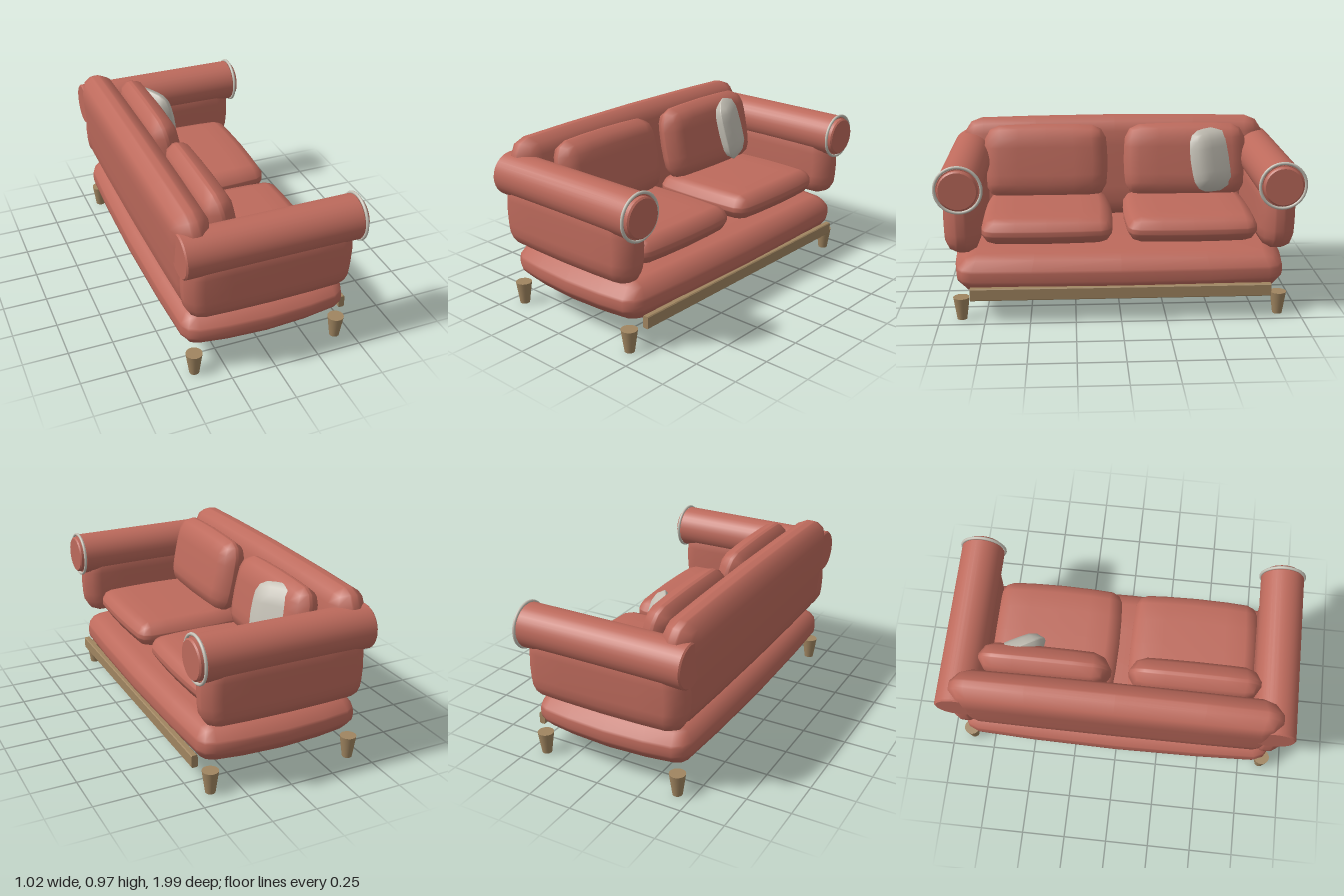
import * as THREE from 'three';
import { mergeVertices } from 'three/addons/utils/BufferGeometryUtils.js';

const material = (name, color) => {
  const m = new THREE.MeshStandardMaterial({ color });
  m.name = name;
  return m;
};

// Stuffed block: a rounded box whose faces swell towards the middle.
// h = half sizes, r = edge radius, bulge = how far the rims draw in.
function cushionGeometry(h, r, bulge) {
  const g = new THREE.BoxGeometry(2, 2, 2, 6, 6, 6);
  g.deleteAttribute('uv');
  g.deleteAttribute('normal');
  const pos = g.attributes.position;
  const p = new THREE.Vector3(), inner = new THREE.Vector3();
  // Grid lines: centre, 60 % of the flat, end of the flat, outer face
  const remap = (t, half) => {
    const i = Math.round(Math.abs(t) * 3);
    return Math.sign(t) * [0, 0.6 * (half - r), half - r, half][i];
  };
  for (let i = 0; i < pos.count; i++) {
    p.set(remap(pos.getX(i), h[0]), remap(pos.getY(i), h[1]), remap(pos.getZ(i), h[2]));
    inner.set(
      THREE.MathUtils.clamp(p.x, r - h[0], h[0] - r),
      THREE.MathUtils.clamp(p.y, r - h[1], h[1] - r),
      THREE.MathUtils.clamp(p.z, r - h[2], h[2] - r));
    p.sub(inner).normalize().multiplyScalar(r).add(inner);
    const u = (p.x / h[0]) ** 2, v = (p.y / h[1]) ** 2, w = (p.z / h[2]) ** 2;
    pos.setXYZ(i,
      p.x * (1 - bulge * (v + w) / 2),
      p.y * (1 - bulge * (u + w) / 2),
      p.z * (1 - bulge * (u + v) / 2));
  }
  const merged = mergeVertices(g, 1e-4);
  merged.computeVertexNormals();
  return merged;
}

// Round bar along x with small bevels, from x0 to x1
function barGeometry(radius, x0, x1, bevel) {
  const pts = [
    [0, x0], [radius - bevel, x0], [radius - bevel, x0],
    [radius, x0 + bevel], [radius, x0 + bevel],
    [radius, x1 - bevel], [radius, x1 - bevel],
    [radius - bevel, x1], [radius - bevel, x1], [0, x1],
  ].map(([a, b]) => new THREE.Vector2(a, b));
  return new THREE.LatheGeometry(pts, 32).rotateZ(-Math.PI / 2);
}

export function createModel() {
  const sofa = new THREE.Group();
  sofa.name = 'sofa';
  const fabric = material('terracotta fabric', 0xbd6a5c);
  const wood = material('oak wood', 0xa08560);
  const linen = material('pale linen', 0xc4c0b5);

  const add = (name, geometry, mat, position = [0, 0, 0], rotation = [0, 0, 0]) => {
    const mesh = new THREE.Mesh(geometry, mat);
    mesh.name = name;
    mesh.position.set(...position);
    mesh.rotation.set(...rotation);
    sofa.add(mesh);
    return mesh;
  };

  // Seat base and leaning backrest; the seat faces +x
  add('base', cushionGeometry([0.485, 0.118, 0.937], 0.075, 0.1), fabric, [-0.004, 0.252, 0]);
  add('backrest', cushionGeometry([0.108, 0.305, 0.925], 0.08, 0.09), fabric, [-0.385, 0.668, 0], [0, 0, 0.09]);

  // Wooden rail along the seat edge
  const railShape = new THREE.Shape();
  const rx = 0.0175, ry = 0.035, c = 0.005;
  [[-rx, c - ry], [c - rx, -ry], [rx - c, -ry], [rx, c - ry], [rx, ry - c], [rx - c, ry], [c - rx, ry], [-rx, ry - c]]
    .forEach(([x, y], i) => (i ? railShape.lineTo(x, y) : railShape.moveTo(x, y)));
  add('rail', new THREE.ExtrudeGeometry(railShape, { depth: 1.65, bevelEnabled: false }).translate(0, 0, -0.825),
    wood, [0.472, 0.165, 0]);

  const armGeometry = cushionGeometry([0.472, 0.2, 0.102], 0.07, 0.1);
  const rollGeometry = barGeometry(0.122, -0.49, 0.48, 0.008);
  const capGeometry = barGeometry(0.108, 0.47, 0.509, 0.008);
  const pipingGeometry = new THREE.TorusGeometry(0.124, 0.0085, 10, 40).rotateY(Math.PI / 2);
  const seatGeometry = cushionGeometry([0.335, 0.078, 0.37], 0.06, 0.09);
  const backGeometry = cushionGeometry([0.088, 0.22, 0.365], 0.075, 0.11);
  const legGeometry = new THREE.CylinderGeometry(0.045, 0.027, 0.127, 24);

  for (const s of [1, -1]) {
    const side = s > 0 ? 'A' : 'B';
    // Arm: stuffed panel, roll, end cap and piping ring
    add('armPanel' + side, armGeometry, fabric, [-0.004, 0.568, s * 0.862]);
    add('armRoll' + side, rollGeometry, fabric, [0, 0.757, s * 0.864]);
    add('armCap' + side, capGeometry, fabric, [0, 0.757, s * 0.864]);
    add('armPiping' + side, pipingGeometry, linen, [0.483, 0.757, s * 0.864]);
    // Loose cushions
    add('seatCushion' + side, seatGeometry, fabric, [0.075, 0.478, s * 0.403]);
    add('backCushion' + side, backGeometry, fabric, [-0.19, 0.74, s * 0.413], [0, 0, 0.2]);
    // Tapered feet
    for (const x of [-0.418, 0.41]) add('leg' + side, legGeometry, wood, [x, 0.0635, s * 0.88]);
  }

  // Throw pillow tucked into the corner
  const pillow = add('throwPillow', cushionGeometry([0.062, 0.19, 0.19], 0.058, 0.22), linen,
    [-0.14, 0.755, -0.6], [0, 0.52, 0.25]);
  pillow.rotation.order = 'YZX';

  return sofa;
}
